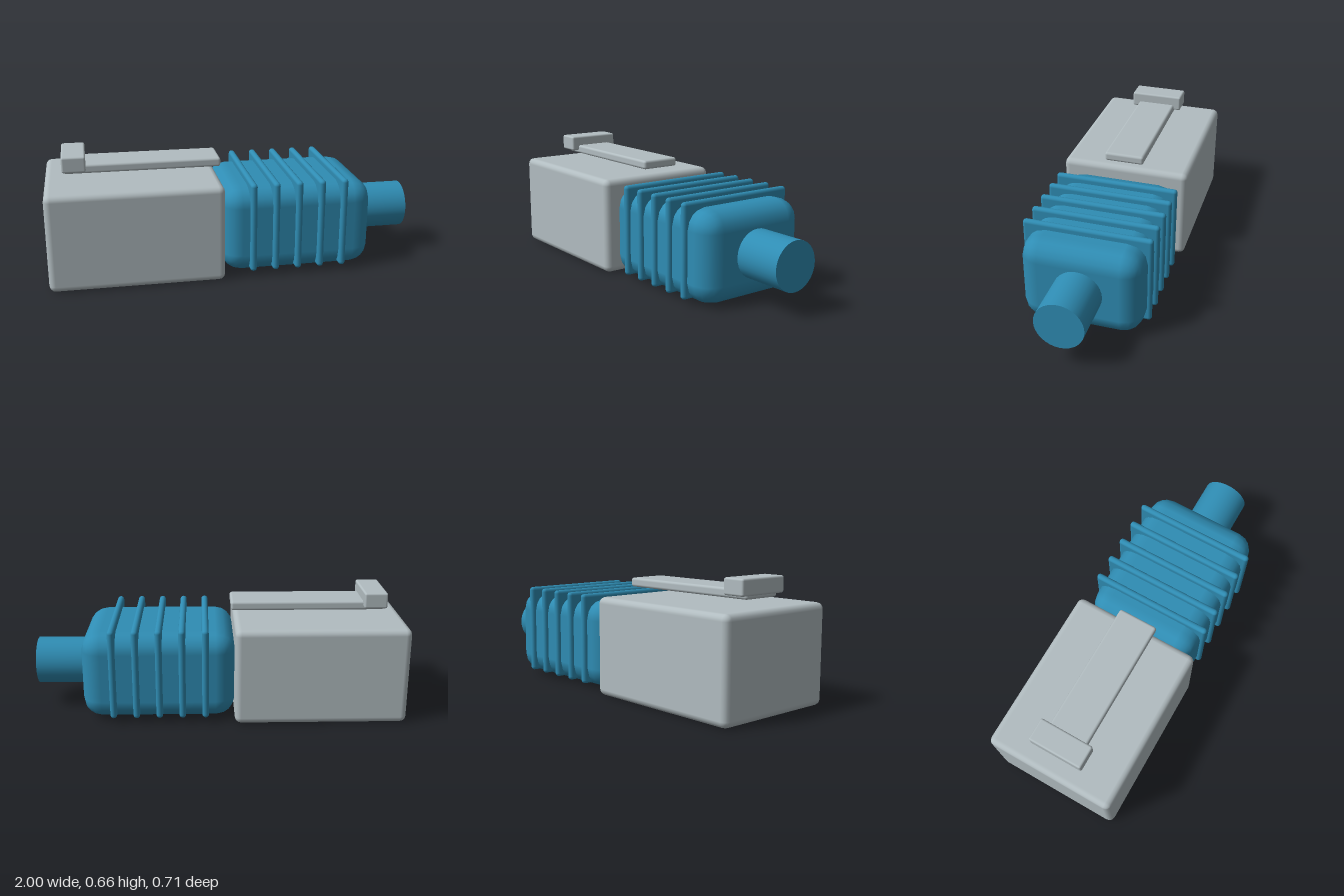
import * as THREE from 'three';
import { RoundedBoxGeometry } from 'three/addons/geometries/RoundedBoxGeometry.js';

export function createModel() {
  const grey = new THREE.MeshStandardMaterial({ color: 0xb2bdc1 });
  grey.name = 'lightGrey';
  const blue = new THREE.MeshStandardMaterial({ color: 0x2f8db4 });
  blue.name = 'blue';

  const model = new THREE.Group();
  model.name = 'cableConnector';

  // Rounded block given by its x and y extents and its full depth
  function block(name, material, [x0, x1], [y0, y1], depth, radius, parent = model) {
    const geometry = new RoundedBoxGeometry(x1 - x0, y1 - y0, depth, 2, radius);
    const mesh = new THREE.Mesh(geometry, material);
    mesh.name = name;
    mesh.position.set((x0 + x1) / 2, (y0 + y1) / 2, 0);
    parent.add(mesh);
  }

  // Plug housing with the latch floating above it
  block('plugBody', grey, [-1, -0.08], [0, 0.523], 0.714, 0.034);
  block('latchArm', grey, [-0.895, -0.065], [0.559, 0.608], 0.22, 0.014);
  block('latchGrip', grey, [-0.905, -0.78], [0.577, 0.662], 0.3, 0.011);

  // Strain relief boot with evenly spaced ribs
  block('boot', blue, [-0.085, 0.735], [0.01, 0.485], 0.634, 0.105);
  const ribs = new THREE.Group();
  ribs.name = 'bootRibs';
  model.add(ribs);
  for (let i = 0; i < 5; i++) {
    const x = 0.075 + i * 0.1227;
    block('rib' + (i + 1), blue, [x - 0.018, x + 0.018], [0.03, 0.521], 0.68, 0.0179, ribs);
  }

  // Cable stub
  const cable = new THREE.Mesh(new THREE.CylinderGeometry(0.128, 0.128, 0.35, 32), blue);
  cable.name = 'cable';
  cable.rotation.z = -Math.PI / 2;
  cable.position.set(0.825, 0.248, 0);
  model.add(cable);

  return model;
}
